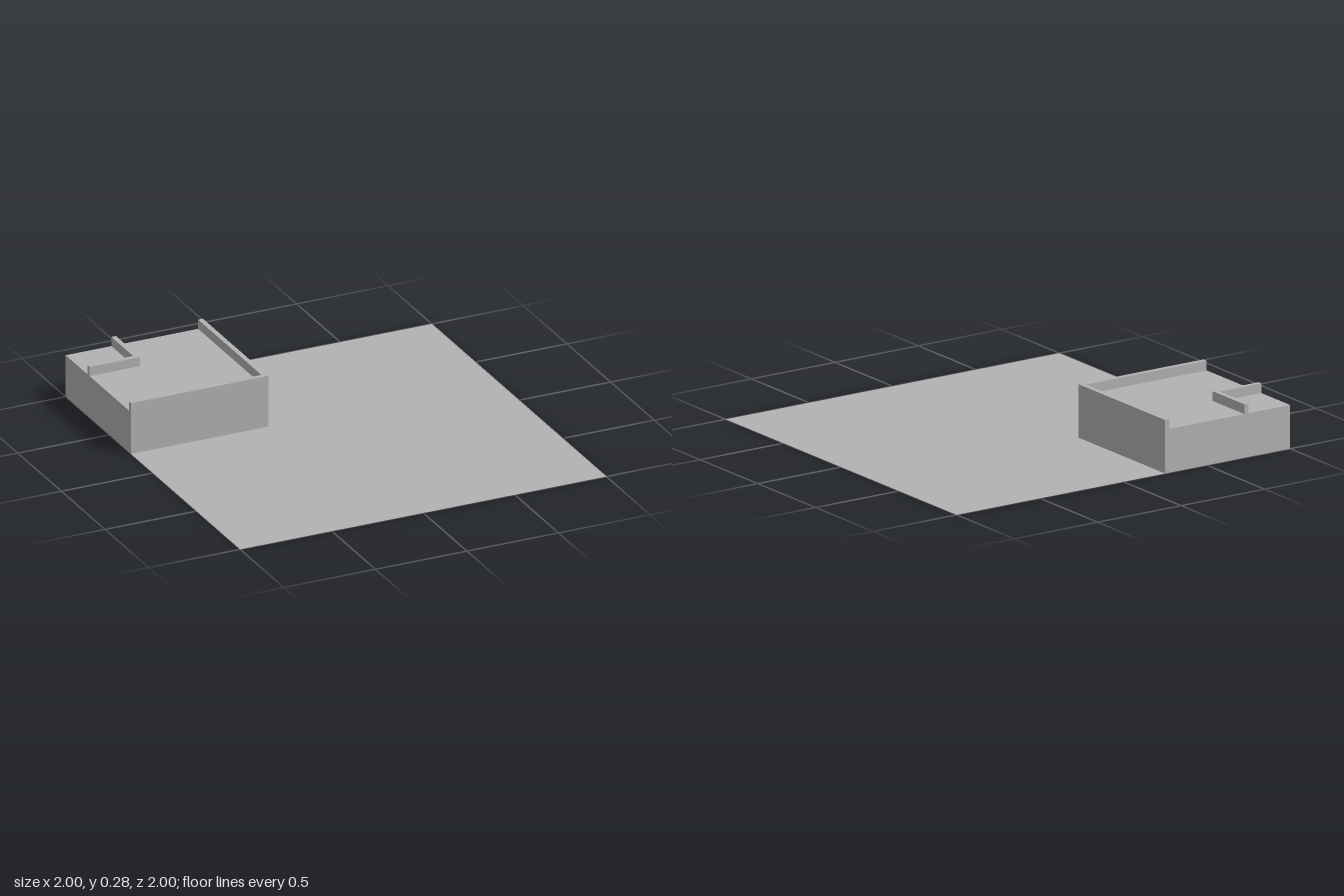
import * as THREE from 'three';

const ROOF = 0.225, TOP = 0.275, WALL = 0.026;

export function createModel() {
  const model = new THREE.Group();
  const grey = new THREE.MeshStandardMaterial({ color: 0xb2b2b2 });
  grey.name = 'plain grey';
  grey.side = THREE.DoubleSide;

  const add = (name, geometry) => {
    const mesh = new THREE.Mesh(geometry, grey);
    mesh.name = name;
    model.add(mesh);
  };

  // L-shaped wall around the back right corner; outer and inner are its sides on x and z
  const cornerWall = (outer, inner, bottom) => {
    const points = [[-1, -outer], [outer, -outer], [outer, 1], [inner, 1], [inner, -inner], [-1, -inner]];
    const shape = new THREE.Shape(points.map(([x, y]) => new THREE.Vector2(x, y)));
    return new THREE.ExtrudeGeometry(shape, { depth: TOP - bottom, bevelEnabled: false })
      .rotateX(-Math.PI / 2)
      .translate(0, bottom, 0);
  };

  // Flat ground sheet
  add('ground', new THREE.PlaneGeometry(2, 2).rotateX(-Math.PI / 2));

  // Solid block whose top is the roof, filling the corner behind the outer wall
  const edge = -0.25 - WALL, size = 1 + edge;
  add('building', new THREE.BoxGeometry(size, ROOF, size)
    .translate(-1 + size / 2, ROOF / 2, -1 + size / 2));

  // Outer wall rising into a parapet, and the small parapet on the roof
  add('outerWall', cornerWall(-0.25, edge, 0));
  add('roofParapet', cornerWall(-0.725, -0.75, ROOF));

  return model;
}
